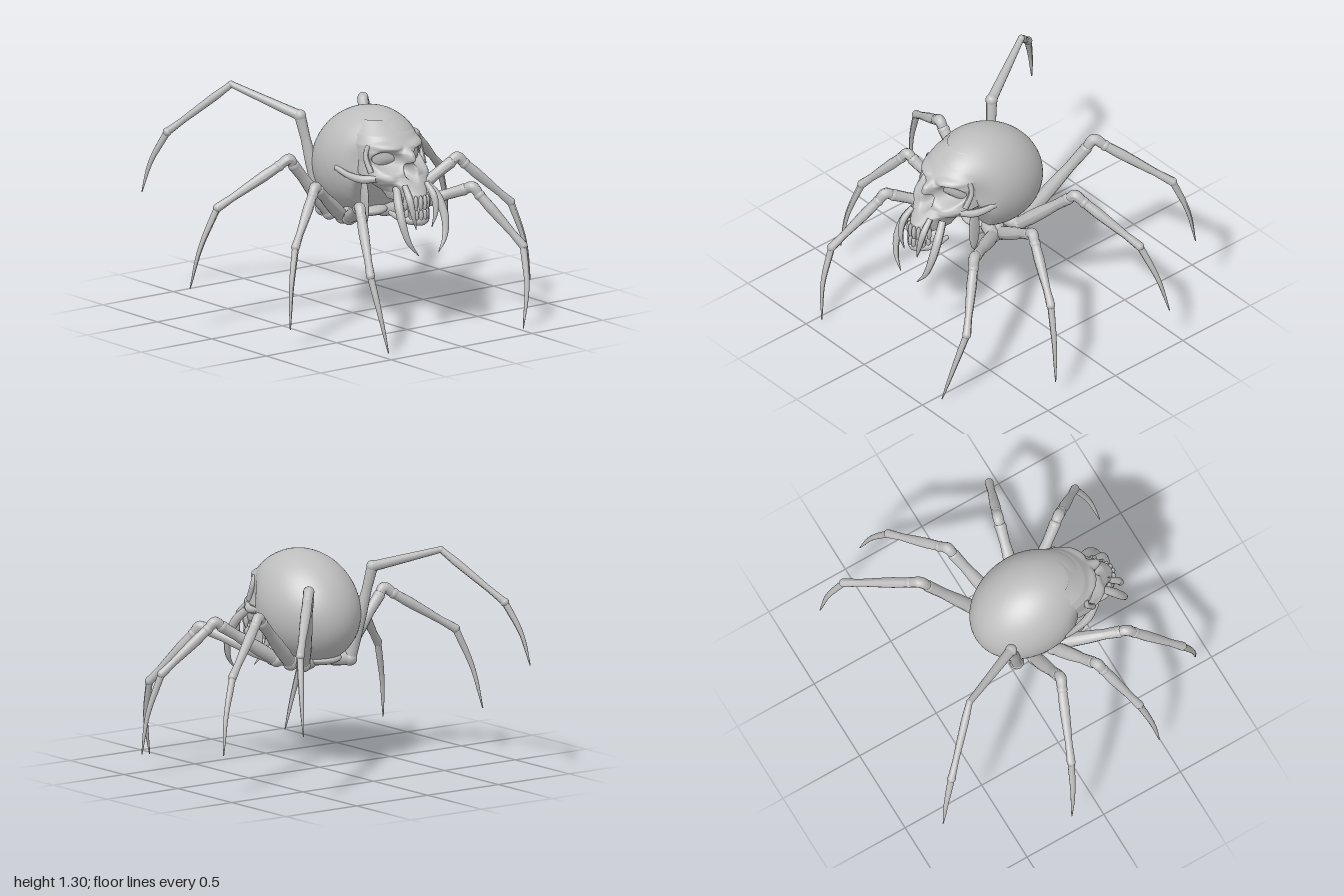
import * as THREE from 'three';
import { ParametricGeometry } from 'three/addons/geometries/ParametricGeometry.js';

const bone = new THREE.MeshStandardMaterial({ color: 0xbdbdbd, side: THREE.DoubleSide });
bone.name = 'bone grey';

const V = (p) => new THREE.Vector3(...p);
const mirror = (pts, s) => pts.map(([x, y, z]) => [x * s, y, z]);

function add(parent, name, geometry, pos = [0, 0, 0], scale = [1, 1, 1]) {
  const m = new THREE.Mesh(geometry, bone);
  m.name = name;
  m.position.set(...pos);
  m.scale.set(...scale);
  parent.add(m);
  return m;
}

// Tube through points whose radius follows an evenly spaced list
function taper(points, radii, seg = 20, sides = 12) {
  const curve = new THREE.CatmullRomCurve3(points.map(V));
  const g = new THREE.TubeGeometry(curve, seg, 1, sides);
  const p = g.attributes.position, v = new THREE.Vector3();
  for (let i = 0; i <= seg; i++) {
    const c = curve.getPointAt(i / seg);
    const f = (i / seg) * (radii.length - 1), k = Math.min(Math.floor(f), radii.length - 2);
    const r = THREE.MathUtils.lerp(radii[k], radii[k + 1], f - k);
    for (let j = 0; j <= sides; j++) {
      const n = i * (sides + 1) + j;
      v.fromBufferAttribute(p, n).sub(c).multiplyScalar(r).add(c);
      p.setXYZ(n, v.x, v.y, v.z);
    }
  }
  g.computeVertexNormals();
  return g;
}

// Tilted egg with a full forehead, hollowed below the cheeks at the front
function craniumGeometry() {
  const g = new THREE.SphereGeometry(1, 64, 48);
  g.scale(0.282, 0.298, 0.36);
  g.rotateX(-0.52);
  g.translate(0.012, 0.918, 0.107);
  const p = g.attributes.position;
  for (let i = 0; i < p.count; i++) {
    const y = p.getY(i), z = p.getZ(i);
    const limit = 0.17 + Math.max(0, y - 0.62) * 0.5;
    if (y < 0.98 && z > limit) {
      const k = Math.min(1, (0.98 - y) / 0.12);
      p.setZ(i, z - (z - limit) * k * 0.9);
    }
    // forehead
    const f = Math.exp(-(((z - 0.4) / 0.11) ** 2) - ((y - 1.1) / 0.12) ** 2);
    p.setZ(i, p.getZ(i) + 0.025 * f);
    // temples
    const t = Math.exp(-(((z - 0.34) / 0.07) ** 2) - ((y - 0.97) / 0.1) ** 2);
    p.setX(i, p.getX(i) * (1 - 0.15 * t));
  }
  g.computeVertexNormals();
  return g;
}

// Face rows: height, half width, front z, back z
const FACE = [
  [1.19, 0.12, 0.34, 0.2], [1.12, 0.18, 0.435, 0.22], [1.07, 0.2, 0.485, 0.24], [1.03, 0.2, 0.515, 0.25],
  [0.97, 0.195, 0.53, 0.27], [0.9, 0.2, 0.55, 0.31], [0.86, 0.165, 0.59, 0.35],
  [0.81, 0.105, 0.635, 0.4], [0.765, 0.085, 0.648, 0.43]];
// Bumps and hollows: x, y, x radius, y radius, depth (mirrored)
const RELIEF = [
  [0.105, 0.985, 0.062, 0.05, -0.11], [0.1, 1.065, 0.07, 0.022, 0.018],
  [0, 0.925, 0.034, 0.045, -0.09], [0, 1.01, 0.028, 0.045, 0.045],
  [0.15, 0.9, 0.05, 0.025, 0.015], [0.125, 0.825, 0.035, 0.035, -0.05]];

function faceGeometry() {
  return new ParametricGeometry((u, v, out) => {
    const f = v * (FACE.length - 1), k = Math.min(Math.floor(f), FACE.length - 2);
    const [y, w, zf, zb] = FACE[k].map((a, i) => THREE.MathUtils.lerp(a, FACE[k + 1][i], f - k));
    const t = (u - 0.5) * Math.PI;
    const x = w * Math.sin(t);
    let z = zb + (zf - zb) * Math.pow(Math.max(0, Math.cos(t)), 0.75);
    for (const [cx, cy, rx, ry, d] of RELIEF) {
      const q = ((Math.abs(x) - cx) / rx) ** 2 + ((y - cy) / ry) ** 2;
      z += d * Math.exp(-q * q);
    }
    out.set(x, y, Math.max(z, zb));
  }, 100, 80);
}

function buildSkull() {
  const skull = new THREE.Group();
  skull.name = 'skull';
  add(skull, 'cranium', craniumGeometry());
  add(skull, 'face', faceGeometry());
  add(skull, 'palate', new THREE.SphereGeometry(1, 20, 12), [0, 0.79, 0.5], [0.08, 0.04, 0.12]);

  // teeth around a narrow arch, upper and lower
  for (const [label, y, h, r] of [['upperTooth', 0.765, 0.045, 0.079], ['lowerTooth', 0.695, 0.038, 0.072]]) {
    for (let i = 0; i < 8; i++) {
      const a = (i - 3.5) * 0.36;
      add(skull, label, new THREE.SphereGeometry(1, 10, 10),
        [Math.sin(a) * r, y, 0.555 + Math.cos(a) * 0.09], [0.0135, h, 0.015]);
    }
  }

  // chin arch
  add(skull, 'jaw', taper([[-0.095, 0.69, 0.46], [-0.078, 0.67, 0.56], [0, 0.66, 0.63],
    [0.078, 0.67, 0.56], [0.095, 0.69, 0.46]], [0.012, 0.024, 0.028, 0.024, 0.012], 36));

  for (const s of [-1, 1]) {
    add(skull, 'cheekArch', taper(mirror([[0.17, 0.89, 0.44], [0.215, 0.88, 0.37], [0.243, 0.89, 0.28], [0.258, 0.92, 0.18]], s),
      [0.02, 0.024, 0.018, 0.016]));
    add(skull, 'orbitEdge', taper(mirror([[0.175, 1.07, 0.37], [0.192, 1.01, 0.37], [0.185, 0.92, 0.41]], s),
      [0.014, 0.016, 0.018]));
    // flat plate hanging under the cheek
    add(skull, 'jawPlate', new THREE.SphereGeometry(1, 16, 12), [0.175 * s, 0.73, 0.335], [0.014, 0.14, 0.038]);
    add(skull, 'longCanine', taper(mirror([[0.075, 0.86, 0.575], [0.086, 0.79, 0.635], [0.078, 0.7, 0.66], [0.055, 0.62, 0.655]], s),
      [0.016, 0.021, 0.015, 0.002]));
    const fang = mirror([[0.105, 0.84, 0.52], [0.138, 0.77, 0.58], [0.15, 0.66, 0.635], [0.125, 0.55, 0.665], [0.07, 0.475, 0.68]], s);
    add(skull, 'outerFang', taper(fang, [0.022, 0.026, 0.023, 0.016, 0.002], 28), [0.013, 0, 0]);
  }
  return skull;
}

// Legs: hip, optional bend, knee, ankle, tip
const LEGS = [
  ['leftFrontLeg', [0.18, 0.62, 0.2], null, [0.425, 0.775, 0.55], [0.615, 0.45, 0.77], [0.53, 0.005, 0.88]],
  ['leftSecondLeg', [0.19, 0.62, 0.15], null, [0.56, 0.865, 0.235], [0.85, 0.585, 0.35], [0.95, 0.13, 0.4]],
  ['leftThirdLeg', [0.19, 0.62, 0.02], null, [0.52, 0.94, -0.115], [0.85, 0.675, -0.31], [0.99, 0.255, -0.41]],
  ['leftRearLeg', [0.16, 0.62, -0.06], null, [0.37, 1.115, -0.385], [0.675, 0.835, -0.705], [0.738, 0.4, -0.82]],
  ['rightFrontLeg', [-0.18, 0.62, 0.2], null, [-0.36, 0.77, 0.53], [-0.5, 0.45, 0.81], [-0.457, 0.02, 0.92]],
  ['rightSecondLeg', [-0.19, 0.62, 0.15], null, [-0.475, 0.855, 0.27], [-0.715, 0.57, 0.4], [-0.81, 0.12, 0.475]],
  ['rightThirdLeg', [-0.19, 0.62, 0.03], null, [-0.475, 0.97, 0.03], [-0.86, 0.715, -0.13], [-0.995, 0.255, -0.205]],
  ['rightRearLeg', [-0.16, 0.62, -0.07], [-0.25, 1.15, -0.16], [-0.44, 1.285, -0.545], [-0.69, 0.995, -0.81], [-0.785, 0.64, -0.92]]];

function buildLeg([name, hip, bend, knee, ankle, tip]) {
  const leg = new THREE.Group();
  leg.name = name;
  const at = (a, b, t) => V(a).lerp(V(b), t).toArray();
  const ball = (n, p, r) => add(leg, n, new THREE.SphereGeometry(r, 14, 10), p);
  const segment = (n, a, b, radii) => add(leg, n, taper([a, at(a, b, 0.5), b], radii));

  // hip lump joining the underside
  segment('hip', [hip[0] * 0.25, 0.63, 0.08 + (hip[2] - 0.08) * 0.5], hip, [0.03, 0.046, 0.043, 0.036]);
  ball('hipJoint', hip, 0.042);
  if (bend) {
    segment('thigh', hip, bend, [0.036, 0.036, 0.035, 0.028, 0.032]);
    ball('bendJoint', bend, 0.035);
    segment('upperShin', bend, knee, [0.03, 0.026, 0.022, 0.018]);
    ball('kneeJoint', knee, 0.02);
    segment('shin', knee, ankle, [0.018, 0.023, 0.021, 0.018, 0.022]);
  } else {
    // thigh, short knee segment, shin
    const k0 = at(hip, knee, 0.88), k1 = at(knee, ankle, 0.14);
    segment('thigh', hip, k0, [0.036, 0.04, 0.037, 0.03, 0.033]);
    add(leg, 'kneeSegment', taper([k0, knee, k1], [0.028, 0.032, 0.027]));
    ball('kneeJoint', k0, 0.034);
    ball('lowerKneeJoint', k1, 0.031);
    segment('shin', k1, ankle, [0.027, 0.03, 0.026, 0.021, 0.025]);
  }
  ball('ankleJoint', ankle, 0.025);

  // slim curved claw, bowed outward
  const mid = at(ankle, tip, 0.5), out = Math.hypot(mid[0], mid[2]);
  mid[0] += 0.022 * mid[0] / out;
  mid[2] += 0.022 * mid[2] / out;
  add(leg, 'claw', taper([ankle, mid, tip], [0.02, 0.018, 0.014, 0.01, 0.003], 24));
  return leg;
}

export function createModel() {
  const model = new THREE.Group();
  model.name = 'skullSpider';
  model.add(buildSkull());
  add(model, 'underside', new THREE.SphereGeometry(1, 24, 16), [0, 0.635, 0.06], [0.14, 0.045, 0.19]);
  for (const data of LEGS) model.add(buildLeg(data));
  return model;
}
